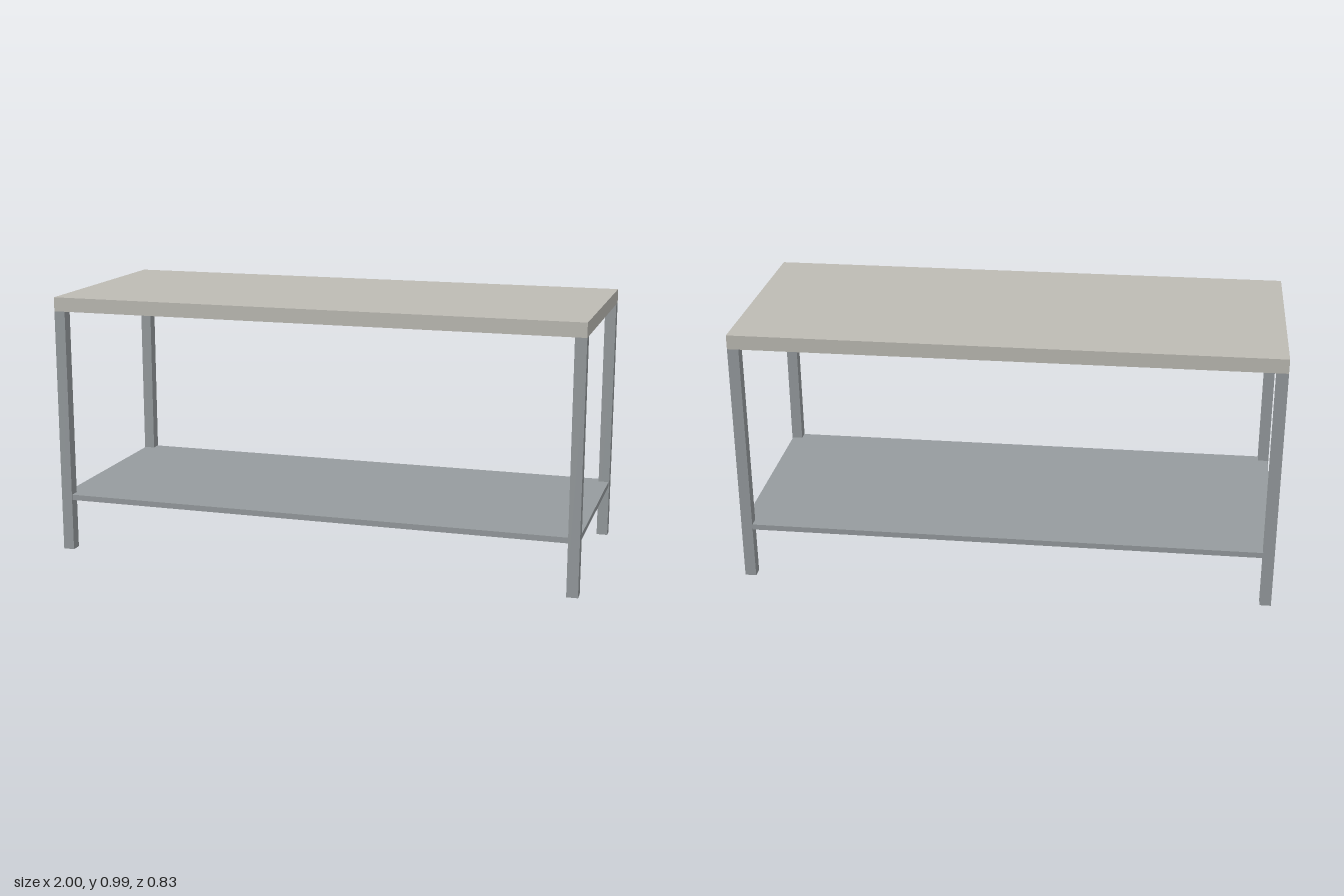
import * as THREE from 'three';

export function createModel() {
  const model = new THREE.Group();
  model.name = 'workbench';

  const topMaterial = new THREE.MeshStandardMaterial({ color: 0xbdbbb4 });
  topMaterial.name = 'warm grey worktop';
  const frameMaterial = new THREE.MeshStandardMaterial({ color: 0x969b9e });
  frameMaterial.name = 'steel grey frame';

  const halfDepth = 0.415;
  const leg = 0.042;
  const topBottom = 0.932;
  const topHeight = 0.053;

  // Adds a box standing on the given base height
  function addBox(name, material, w, h, d, x, base, z) {
    const mesh = new THREE.Mesh(new THREE.BoxGeometry(w, h, d), material);
    mesh.name = name;
    mesh.position.set(x, base + h / 2, z);
    model.add(mesh);
  }

  // Worktop slab
  addBox('worktop', topMaterial, 2, topHeight, halfDepth * 2, 0, topBottom, 0);

  // Lower shelf, its corners held just inside the legs
  addBox('lowerShelf', frameMaterial, 1.994, 0.021, halfDepth * 2 - 0.006, 0, 0.198, 0);

  // Four square legs, flush with the worktop corners
  for (const [side, sx] of [['Left', 1], ['Right', -1]]) {
    for (const [end, sz] of [['front', 1], ['back', -1]]) {
      addBox(`${end}${side}Leg`, frameMaterial, leg, topBottom, leg,
        sx * (1 - leg / 2), 0, sz * (halfDepth - leg / 2));
    }
  }

  return model;
}
